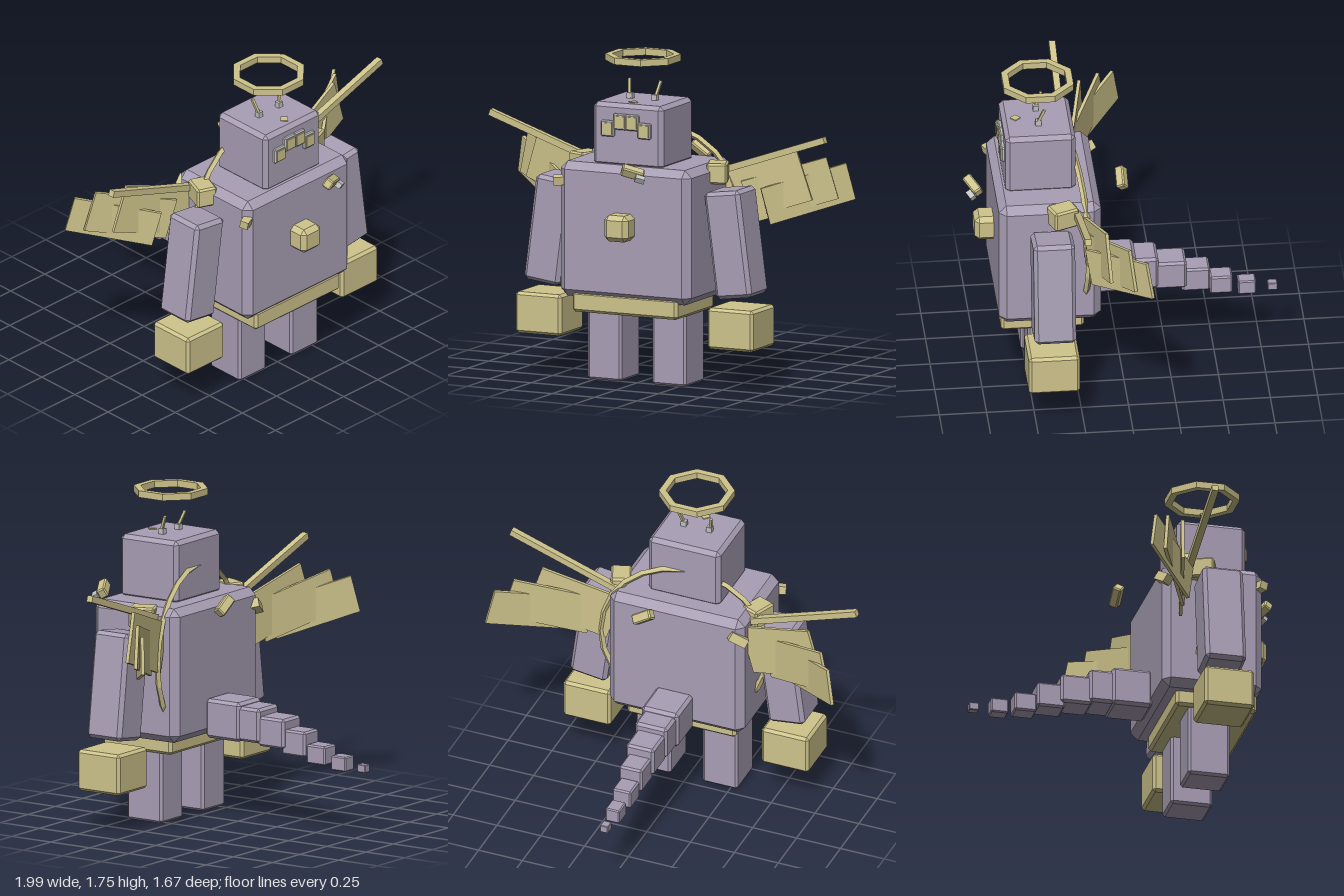
import * as THREE from 'three';
import { ConvexGeometry } from 'three/addons/geometries/ConvexGeometry.js';

const make = (name, hex) => {
  const m = new THREE.MeshStandardMaterial({ color: hex, flatShading: true });
  m.name = name;
  return m;
};

export function createModel() {
  const model = new THREE.Group();
  model.name = 'wingedGolem';
  const purple = make('dustyPurple', 0xa99fb5);
  const gold = make('paleGold', 0xcfc48c);
  const silver = make('silver', 0xc2c2c4);

  function add(name, geometry, material, x, y, z, rx = 0, ry = 0, rz = 0) {
    const mesh = new THREE.Mesh(geometry, material);
    mesh.name = name;
    mesh.position.set(x, y, z);
    mesh.rotation.set(rx, ry, rz);
    model.add(mesh);
    return mesh;
  }

  // Box with every edge cut by a flat chamfer
  function chamferBox(w, h, d, c) {
    const points = [];
    for (const x of [-1, 1]) for (const y of [-1, 1]) for (const z of [-1, 1]) {
      const X = w / 2, Y = h / 2, Z = d / 2;
      points.push(
        new THREE.Vector3(x * X, y * (Y - c), z * (Z - c)),
        new THREE.Vector3(x * (X - c), y * Y, z * (Z - c)),
        new THREE.Vector3(x * (X - c), y * (Y - c), z * Z));
    }
    return new ConvexGeometry(points);
  }

  // Thin board from a to b, standing as upright as its direction allows
  function board(name, a, b, height, thickness) {
    const A = new THREE.Vector3(...a), B = new THREE.Vector3(...b);
    const along = B.clone().sub(A), length = along.length();
    along.normalize();
    const up = new THREE.Vector3(0, 1, 0).addScaledVector(along, -along.y).normalize();
    const side = along.clone().cross(up);
    const mesh = add(name, new THREE.BoxGeometry(length, height, thickness), gold, 0, 0, 0);
    mesh.quaternion.setFromRotationMatrix(new THREE.Matrix4().makeBasis(along, up, side));
    mesh.position.copy(A).add(B).multiplyScalar(0.5);
  }

  // Torso, head, belt and chest gem
  add('torso', chamferBox(0.77, 0.72, 0.54, 0.04), purple, 0, 0.82, 0.4);
  add('head', chamferBox(0.41, 0.34, 0.37, 0.022), purple, 0, 1.335, 0.435);
  add('belt', chamferBox(0.62, 0.11, 0.44, 0.015), gold, 0, 0.435, 0.435);
  add('chestGem', chamferBox(0.14, 0.14, 0.14, 0.025), gold, 0, 0.86, 0.7);

  // Limbs, shoulder blocks, antennae and wings on both sides
  for (const s of [-1, 1]) {
    add('leg', chamferBox(0.2, 0.42, 0.225, 0.013), purple, s * 0.19, 0.21, 0.4);
    add('arm', chamferBox(0.21, 0.57, 0.22, 0.02), purple, s * 0.53, 0.775, 0.4, 0, 0, s * 0.13);
    add('fist', chamferBox(0.27, 0.22, 0.27, 0.015), gold, s * 0.565, 0.33, 0.41);
    add('shoulderBlock', chamferBox(0.11, 0.11, 0.14, 0.01), gold, s * 0.39, 1.13, 0.335, 0, s * 0.38, 0);

    add('antennaBase', new THREE.BoxGeometry(0.03, 0.03, 0.03), silver, s * 0.073, 1.52, 0.435);
    add('antenna', new THREE.BoxGeometry(0.014, 0.11, 0.014), gold, s * 0.083, 1.555, 0.425, -0.38, 0, -s * 0.17);

    board('wingSpar', [s * 0.37, 1.125, 0.26], [s * 0.985, 1.335, 0.26], 0.035, 0.035);
    board('innerFeather', [s * 0.38, 0.97, 0.22], [s * 0.8, 1.11, 0.13], 0.27, 0.018);
    board('middleFeather', [s * 0.5, 0.96, 0.21], [s * 0.905, 1.09, 0.015], 0.23, 0.018);
    board('outerFeather', [s * 0.61, 0.945, 0.215], [s * 0.97, 1.065, -0.07], 0.2, 0.018);
  }

  // Four framed eyes in a shallow arch
  for (const [x, y] of [[-0.11, 1.37], [-0.037, 1.41], [0.034, 1.41], [0.105, 1.37]]) {
    add('eyeFrame', chamferBox(0.076, 0.085, 0.03, 0.006), silver, x, y, 0.622);
    add('eye', new THREE.BoxGeometry(0.058, 0.062, 0.008), gold, x, y, 0.639);
  }
  add('crownDiamond', new THREE.BoxGeometry(0.04, 0.008, 0.04), gold, 0, 1.506, 0.55, 0, Math.PI / 4, 0);

  // Octagonal halo with flat sides to the front
  const octagon = (r) => Array.from({ length: 8 }, (_, i) => {
    const a = (i + 0.5) * Math.PI / 4;
    return new THREE.Vector2(r * Math.cos(a), r * Math.sin(a));
  });
  const haloShape = new THREE.Shape(octagon(0.2));
  haloShape.holes.push(new THREE.Path(octagon(0.162)));
  add('halo', new THREE.ExtrudeGeometry(haloShape, { depth: 0.036, bevelEnabled: false }),
    gold, 0, 1.747, 0.433, Math.PI / 2, 0, 0);

  // Large hoop passing through the torso
  add('backHoop', new THREE.TorusGeometry(0.455, 0.017, 4, 24), gold, 0, 0.89, 0.265, 0, 0.14, 0);

  // Small loose crystals around the chest
  const crystal = chamferBox(0.12, 0.055, 0.05, 0.007);
  add('frontCrystal', crystal, gold, 0.115, 1.175, 0.785, 0.5, 0.3, -0.5);
  add('frontCrystalTip', new THREE.BoxGeometry(0.05, 0.03, 0.03), silver, 0.165, 1.145, 0.8, 0.5, 0.3, -0.5);
  add('backCrystal', crystal, gold, 0.125, 1.18, 0, 0.5, -0.3, -0.5);
  add('sideCrystal', new THREE.BoxGeometry(0.12, 0.045, 0.045), gold, -0.355, 1.08, 0.645, 0.2, 0.4, 0);
  add('sideCrystal', new THREE.BoxGeometry(0.1, 0.05, 0.045), gold, -0.36, 1.08, 0.135, 0.3, 0.5, 0.4);

  // Tapering tail: width, bottom, top, front z, back z
  const tail = [
    [0.21, 0.45, 0.66, 0.14, -0.08], [0.185, 0.455, 0.64, -0.06, -0.2],
    [0.16, 0.44, 0.6, -0.18, -0.35], [0.13, 0.41, 0.545, -0.325, -0.475],
    [0.105, 0.378, 0.48, -0.475, -0.595], [0.08, 0.358, 0.437, -0.625, -0.72],
    [0.045, 0.364, 0.406, -0.782, -0.834]];
  tail.forEach(([w, y0, y1, z0, z1]) => add('tailSegment',
    chamferBox(w, y1 - y0, z0 - z1, w * 0.08), purple, 0, (y0 + y1) / 2, (z0 + z1) / 2));

  return model;
}
